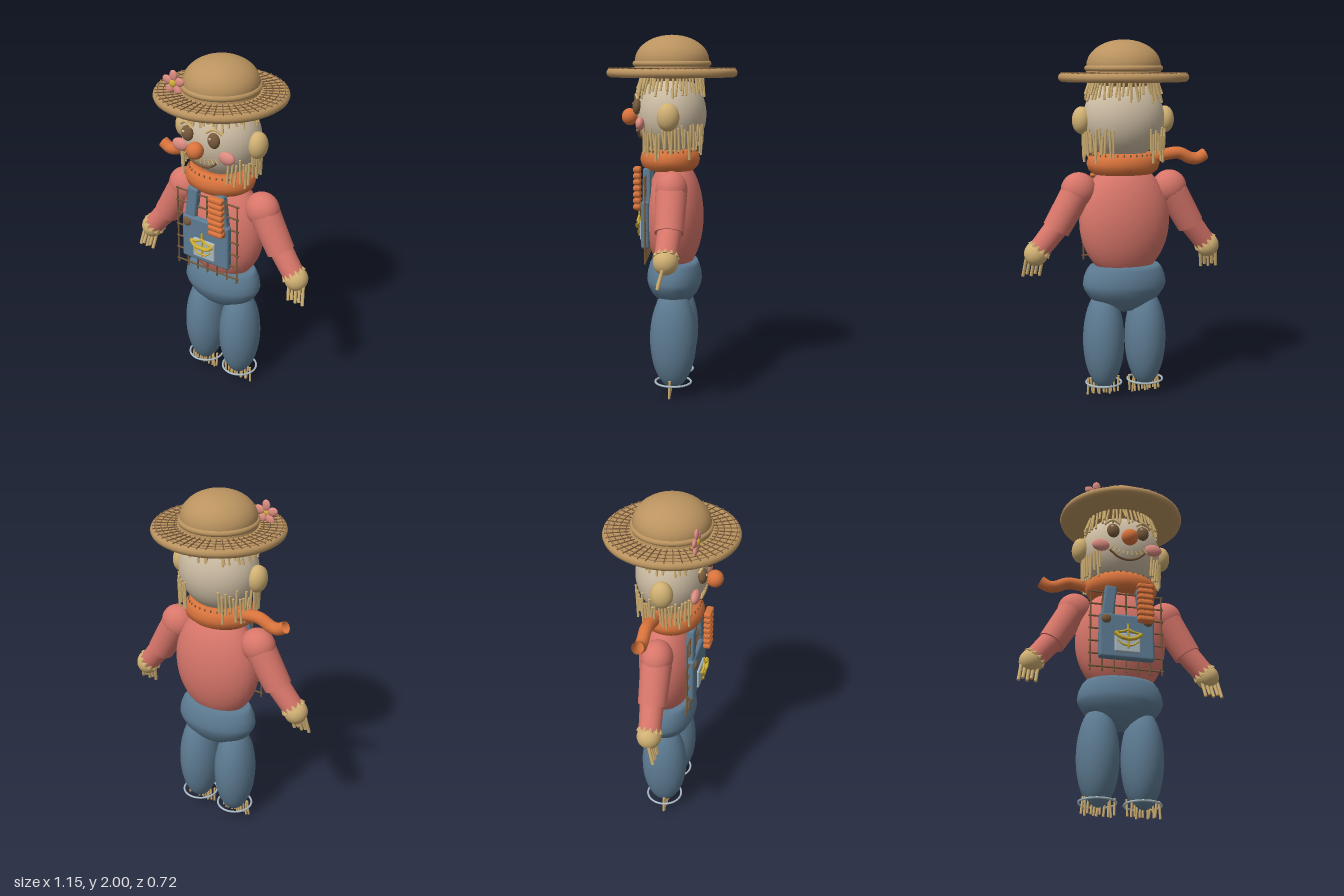
import * as THREE from 'three';
import { RoundedBoxGeometry } from 'three/addons/geometries/RoundedBoxGeometry.js';

const mat = (name, color, side = THREE.FrontSide) => {
  const m = new THREE.MeshStandardMaterial({ color, side });
  m.name = name;
  return m;
};
const hatTan = mat('hat tan', 0xba935f), straw = mat('straw', 0xd0b073), sack = mat('sackcloth', 0xcbbba2);
const coral = mat('coral shirt', 0xd8766a), denim = mat('denim', 0x5d7b92), orange = mat('orange', 0xd8733c, THREE.DoubleSide);
const brown = mat('brown', 0x785a3c), pink = mat('pink', 0xdb8b80), gold = mat('gold', 0xcfae35), grey = mat('pale grey', 0xa9bac2);

const V = (x, y, z) => new THREE.Vector3(x, y, z);
const UP = V(0, 1, 0);
const BODY_Z = -0.015;

export function createModel() {
  const root = new THREE.Group();
  root.name = 'scarecrow';
  let seed = 7;
  const rand = (a, b) => {
    seed = (seed * 16807) % 2147483647;
    return a + (b - a) * (seed / 2147483647);
  };
  const group = (name, parent = root) => {
    const g = new THREE.Group();
    g.name = name;
    parent.add(g);
    return g;
  };
  const add = (name, geo, material, parent = root, x = 0, y = 0, z = 0) => {
    const m = new THREE.Mesh(geo, material);
    m.name = name;
    m.position.set(x, y, z);
    parent.add(m);
    return m;
  };
  const ball = (name, material, parent, p, r) => {
    const m = add(name, new THREE.SphereGeometry(1, 32, 24), material, parent, ...p);
    m.scale.set(...r);
    return m;
  };
  // Cylinder running from a to b
  const rod = (name, material, parent, a, b, ra, rb = ra, sides = 6) => {
    const d = b.clone().sub(a);
    const m = add(name, new THREE.CylinderGeometry(rb, ra, d.length(), sides), material, parent);
    m.position.copy(a).addScaledVector(d, 0.5);
    m.quaternion.setFromUnitVectors(UP, d.normalize());
    return m;
  };
  const tube = (name, material, parent, pts, r) =>
    add(name, new THREE.TubeGeometry(new THREE.CatmullRomCurve3(pts.map(p => V(...p))), 32, r, 12), material, parent);
  const ring = (name, material, parent, y, R, r) => {
    const m = add(name, new THREE.TorusGeometry(R, r, 10, 56), material, parent, 0, y, 0);
    m.rotation.x = Math.PI / 2;
    return m;
  };
  const lathe = (pts) => new THREE.LatheGeometry(pts.map(p => new THREE.Vector2(...p)), 56);

  // Straw hat with woven brim
  const hat = group('hat');
  add('brim', new THREE.CylinderGeometry(0.34, 0.34, 0.044, 64), hatTan, hat, 0, 1.796, 0);
  ring('brimEdge', hatTan, hat, 1.796, 0.334, 0.025);
  ball('crown', hatTan, hat, [0, 1.86, 0], [0.204, 0.14, 0.204]);
  add('crownBase', new THREE.CylinderGeometry(0.203, 0.206, 0.05, 48), hatTan, hat, 0, 1.84, 0);
  ring('hatBand', hatTan, hat, 1.845, 0.2, 0.016);
  for (const R of [0.235, 0.268, 0.303, 0.334]) ring('weaveRing', brown, hat, 1.819, R, 0.0022);
  for (let i = 0; i < 48; i++) {
    const a = (i / 48) * Math.PI * 2;
    const s = add('weaveSpoke', new THREE.BoxGeometry(0.13, 0.005, 0.005), brown, hat, Math.cos(a) * 0.283, 1.82, Math.sin(a) * 0.283);
    s.rotation.y = -a;
  }

  // Flower on the hat
  const flower = group('flower', hat);
  flower.position.set(-0.182, 1.864, 0.17);
  for (let i = 0; i < 5; i++) {
    const a = Math.PI / 2 + (i / 5) * Math.PI * 2;
    const p = ball('petal', pink, flower, [Math.cos(a) * 0.042, Math.sin(a) * 0.042, 0], [0.03, 0.023, 0.012]);
    p.rotation.z = a;
  }
  ball('flowerCentre', gold, flower, [0, 0, 0.007], [0.02, 0.02, 0.012]);

  // Head and face
  const head = group('head');
  ball('skull', sack, head, [0, 1.57, 0], [0.228, 0.225, 0.19]);
  ball('nose', orange, head, [0, 1.555, 0.233], [0.047, 0.047, 0.045]);
  for (const s of [-1, 1]) {
    ball('ear', straw, head, [s * 0.238, 1.565, 0.005], [0.052, 0.075, 0.06]);
    ball('eye', brown, head, [s * 0.085, 1.615, 0.185], [0.036, 0.043, 0.024]);
    ball('pupil', sack, head, [s * 0.085 - 0.01, 1.63, 0.207], [0.008, 0.008, 0.004]);
    ball('cheek', pink, head, [s * 0.152, 1.525, 0.163], [0.05, 0.036, 0.024]);
    tube('eyebrow', straw, head, [[s * 0.045, 1.655, 0.195], [s * 0.09, 1.68, 0.19], [s * 0.135, 1.655, 0.175]], 0.007);
  }
  tube('mouth', brown, head, [[-0.1, 1.492, 0.176], [-0.055, 1.455, 0.176], [0, 1.443, 0.172], [0.055, 1.455, 0.176], [0.1, 1.492, 0.176]], 0.007);
  for (let i = -4; i <= 4; i++) {
    const x = i * 0.022, y = 1.462 + 2.6 * x * x;
    rod('moustacheStraw', straw, head, V(x, y + 0.03, 0.183), V(x * 1.25, y + 0.006, 0.183), 0.0045);
  }

  // Straw hair: fringe under the hat, long locks around the jaw
  const hair = group('hair');
  for (let i = 0; i < 56; i++) {
    const a = (i / 56) * Math.PI * 2 + rand(-0.04, 0.04), t = a + rand(-0.08, 0.08);
    const front = Math.cos(a) > 0.3 ? 1.06 : 0.98;
    const low = rand(1.655, 1.71);
    rod('fringeStraw', straw, hair, V(Math.sin(a) * 0.19, 1.775, Math.cos(a) * 0.17),
      V(Math.sin(t) * 0.215, low, Math.cos(t) * 0.182 * front), 0.0065);
  }
  for (const s of [-1, 1]) {
    for (let i = 0; i < 22; i++) {
      const a = 0.72 + (i / 21) * 1.95, t = a + rand(-0.07, 0.07);
      rod('lockStraw', straw, hair, V(s * Math.sin(a) * 0.23, rand(1.47, 1.53), Math.cos(a) * 0.19),
        V(s * Math.sin(t) * 0.225, rand(1.33, 1.4), Math.cos(t) * 0.185), 0.007);
    }
  }

  // Scarf: stitched ring, blown tail and hanging ribbed end
  const scarf = group('scarf');
  const loop = ring('scarfRing', orange, scarf, 1.325, 0.145, 0.062);
  loop.scale.y = 0.8;
  loop.position.z = 0.01;
  add('scarfFill', new THREE.CylinderGeometry(0.13, 0.13, 0.08, 32), orange, scarf, 0, 1.325, 0).scale.z = 0.8;
  for (let i = 0; i < 32; i++) {
    const a = (i / 32) * Math.PI * 2;
    ball('scarfStitch', brown, scarf, [Math.sin(a) * 0.182, 1.374, 0.01 + Math.cos(a) * 0.146], [0.004, 0.009, 0.004]);
  }
  tube('scarfTail', orange, scarf, [[-0.15, 1.355, -0.05], [-0.23, 1.375, -0.06], [-0.3, 1.38, -0.065], [-0.37, 1.35, -0.065], [-0.41, 1.348, -0.065], [-0.455, 1.372, -0.065]], 0.034);
  add('scarfEnd', new RoundedBoxGeometry(0.08, 0.24, 0.03, 3, 0.012), orange, scarf, 0.098, 1.17, 0.182);
  for (let i = 0; i < 7; i++)
    add('scarfRib', new RoundedBoxGeometry(0.094, 0.029, 0.042, 3, 0.012), orange, scarf, 0.098, 1.07 + i * 0.034, 0.184);

  // Shirt with plaid lattice on the chest
  const shirt = group('shirt');
  ball('torso', coral, shirt, [0, 1.005, BODY_Z], [0.257, 0.325, 0.162]);
  for (let i = 0; i < 7; i++) {
    const x = -0.2 + i * 0.0667, y = 0.79 + i * 0.075;
    rod('plaidUpright', brown, shirt, V(x, 0.765, 0.134), V(x, 1.245, 0.134), 0.005);
    rod('plaidCross', brown, shirt, V(-0.21, y, 0.134), V(0.21, y, 0.134), 0.005);
  }

  // Arms and straw hands
  for (const s of [-1, 1]) {
    const arm = group(s > 0 ? 'leftArm' : 'rightArm');
    ball('shoulder', coral, arm, [s * 0.262, 1.185, BODY_Z], [0.098, 0.098, 0.085]);
    const elbow = V(s * 0.39, 0.97, BODY_Z + 0.005), wrist = V(s * 0.487, 0.855, 0);
    rod('upperSleeve', coral, arm, V(s * 0.28, 1.16, BODY_Z), elbow, 0.085, 0.077, 32);
    rod('lowerSleeve', coral, arm, V(s * 0.365, 1.01, BODY_Z), wrist, 0.066, 0.06, 32);
    ball('hand', straw, arm, [s * 0.5, 0.84, 0], [0.066, 0.068, 0.066]);
    const dir = wrist.clone().sub(elbow).normalize(), side = V(-dir.y, dir.x, 0);
    for (let i = 0; i < 11; i++) {
      const a = (i / 11) * Math.PI * 2;
      const out = side.clone().multiplyScalar(Math.cos(a) * 0.057).add(V(0, 0, Math.sin(a) * 0.057));
      const base = wrist.clone().add(out);
      rod('wristStraw', straw, arm, base, base.clone().addScaledVector(dir, -0.032), 0.017, 0.003);
    }
    for (let i = 0; i < 5; i++) {
      const x = 0.462 + i * 0.023;
      rod('finger', straw, arm, V(s * x, 0.81, 0.012), V(s * (x + 0.014), 0.71 + (i % 2) * 0.012, 0.038), 0.0095, 0.0095, 8);
    }
  }

  // Overalls: bib, straps, buttons and pocket
  const overalls = group('overalls');
  add('bib', new RoundedBoxGeometry(0.31, 0.265, 0.045, 3, 0.015), denim, overalls, 0, 0.972, 0.138);
  for (const s of [-1, 1]) {
    const strap = add('strap', new RoundedBoxGeometry(0.068, 0.25, 0.045, 3, 0.012), denim, overalls, s * 0.1, 1.155, 0.13);
    strap.rotation.z = s * 0.12;
    ball('button', brown, overalls, [s * 0.117, 1.067, 0.16], [0.027, 0.027, 0.016]);
  }
  add('pocket', new RoundedBoxGeometry(0.145, 0.115, 0.02, 3, 0.009), grey, overalls, 0, 0.928, 0.163);

  // Wheat sprig in the pocket
  const sprig = group('sprig', overalls);
  rod('stem', gold, sprig, V(0, 0.89, 0.183), V(0, 1.035, 0.183), 0.006);
  for (const s of [-1, 1]) {
    tube('leaf', gold, sprig, [[0, 0.943, 0.185], [s * 0.04, 0.95, 0.19], [s * 0.075, 0.978, 0.184]], 0.011);
    tube('leafTip', gold, sprig, [[0, 1.0, 0.184], [s * 0.03, 0.985, 0.188], [s * 0.075, 0.978, 0.184]], 0.007);
    tube('lowerLeaf', gold, sprig, [[0, 0.905, 0.183], [s * 0.03, 0.91, 0.186], [s * 0.058, 0.935, 0.183]], 0.005);
  }

  // Trousers
  const trousers = group('trousers');
  const hips = add('hips', lathe([[0, 0.48], [0.07, 0.497], [0.14, 0.53], [0.2, 0.575], [0.23, 0.62], [0.239, 0.65], [0.232, 0.695], [0.215, 0.735], [0.198, 0.757], [0, 0.76]]), denim, trousers, 0, 0, BODY_Z);
  hips.scale.z = 0.645;

  // Legs with ankle ties and straw feet
  for (const s of [-1, 1]) {
    const leg = group(s > 0 ? 'leftLeg' : 'rightLeg', trousers);
    leg.position.x = s * 0.122;
    ball('trouserLeg', denim, leg, [0, 0.33, BODY_Z], [0.116, 0.285, 0.13]);
    const tie = ring('ankleTie', grey, leg, 0.08, 0.1, 0.006);
    tie.position.z = BODY_Z;
    for (let i = 0; i < 11; i++) {
      const x = -0.085 + i * 0.017;
      rod('footStraw', straw, leg, V(x + rand(-0.008, 0.008), 0.105, 0), V(x + rand(-0.008, 0.008), rand(0, 0.018), 0.002), 0.0065);
    }
  }
  return root;
}
